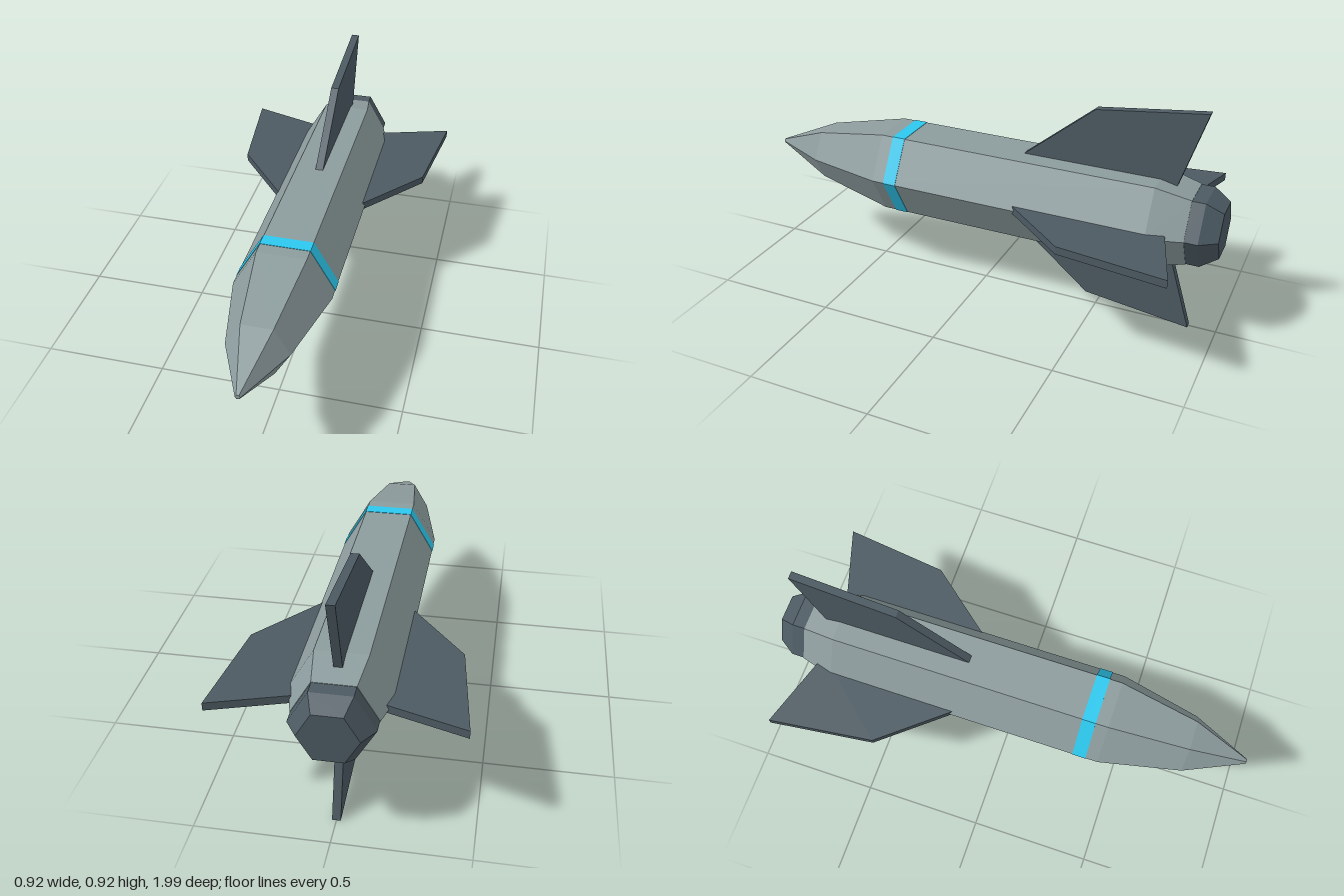
import * as THREE from 'three';

const AXIS_Y = 0.46;

const paint = (color) => new THREE.MeshStandardMaterial({ color, flatShading: true });

// Six-sided solid along z from [radius, z] pairs listed tail to nose
function hexSolid(name, profile, material) {
  const points = profile.map(([r, z]) => new THREE.Vector2(r, z));
  const geometry = new THREE.LatheGeometry(points, 6, Math.PI / 2);
  geometry.rotateX(Math.PI / 2);
  const mesh = new THREE.Mesh(geometry, material);
  mesh.name = name;
  return mesh;
}

export function createModel() {
  const bodyPaint = paint(0x8c9b9d);
  const darkPaint = paint(0x4c5a62);
  const bandPaint = paint(0x2cc8ee);

  const rocket = new THREE.Group();
  rocket.name = 'rocket';
  rocket.position.y = AXIS_Y;

  // Fuselage with tapered tail
  rocket.add(hexSolid('fuselage', [
    [0, -0.868], [0.157, -0.868], [0.195, -0.73], [0.195, 0.43],
  ], bodyPaint));

  // Pointed nose with a tiny flat tip
  rocket.add(hexSolid('noseCone', [
    [0.195, 0.43], [0.121, 0.76], [0.01, 0.998], [0, 0.998],
  ], bodyPaint));

  // Coloured ring behind the nose
  rocket.add(hexSolid('band', [
    [0.19, 0.324], [0.197, 0.324], [0.197, 0.379], [0.19, 0.379],
  ], bandPaint));

  // Engine nozzle
  rocket.add(hexSolid('nozzle', [
    [0, -0.987], [0.11, -0.987], [0.155, -0.92], [0.155, -0.864], [0, -0.864],
  ], darkPaint));

  // Four swept fins, rooted inside the fuselage
  const thickness = 0.032;
  const outline = [[0.12, -0.785], [0.459, -0.89], [0.405, -0.46], [0.12, -0.116]];
  const finShape = new THREE.Shape(outline.map(([r, z]) => new THREE.Vector2(r, z)));
  const finGeometry = new THREE.ExtrudeGeometry(finShape, { depth: thickness, bevelEnabled: false });
  finGeometry.translate(0, 0, -thickness / 2);
  finGeometry.rotateX(Math.PI / 2);
  ['leftFin', 'topFin', 'rightFin', 'bottomFin'].forEach((name, i) => {
    const fin = new THREE.Mesh(finGeometry, darkPaint);
    fin.name = name;
    fin.rotation.z = i * Math.PI / 2;
    rocket.add(fin);
  });

  const model = new THREE.Group();
  model.name = 'model';
  model.add(rocket);
  return model;
}
